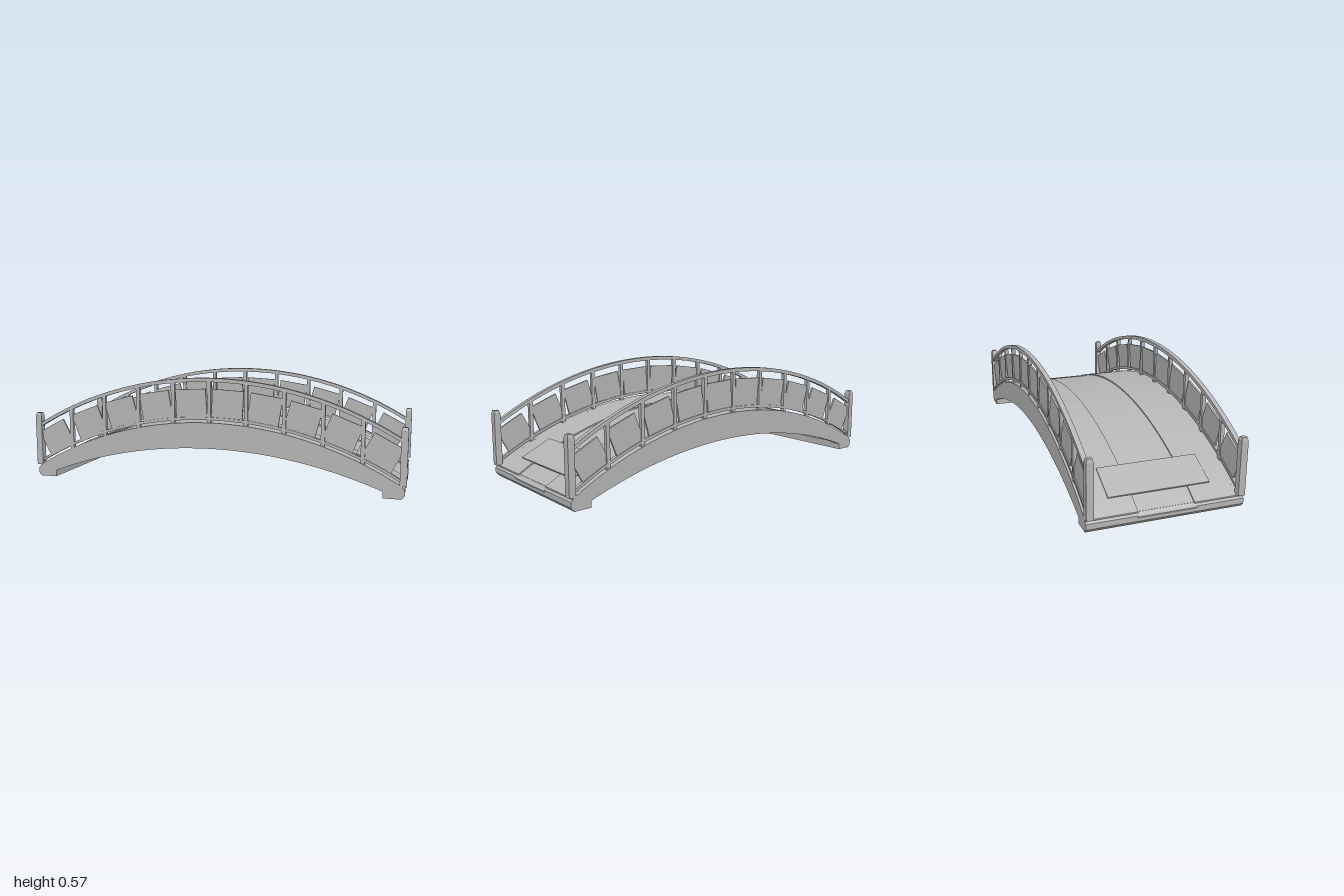
import * as THREE from 'three';
import { toCreasedNormals } from 'three/addons/utils/BufferGeometryUtils.js';

const R = 1.884, CY = -1.549;
const deckY = (x) => CY + Math.sqrt(R * R - x * x);
const soffitY = (x) => -2.23 + Math.sqrt(2.43 * 2.43 - x * x);
const tilt = (x) => -Math.asin(x / R);

export function createModel() {
  const group = new THREE.Group();
  const stone = new THREE.MeshStandardMaterial({ color: 0xb4b4b4 });
  stone.name = 'grey';

  const add = (name, geo, x = 0, y = 0, z = 0, rot = 0) => {
    const mesh = new THREE.Mesh(geo, stone);
    mesh.name = name;
    mesh.position.set(x, y, z);
    mesh.rotation.z = rot;
    group.add(mesh);
    return mesh;
  };
  const box = (name, w, h, d, x, y, z, rot) =>
    add(name, new THREE.BoxGeometry(w, h, d), x, y, z, rot);

  // Extrudes an outline across the bridge, centred on z
  const extrude = (name, points, width, z) => {
    const geo = new THREE.ExtrudeGeometry(new THREE.Shape(points), { depth: width, bevelEnabled: false });
    geo.translate(0, 0, -width / 2);
    return add(name, toCreasedNormals(geo, 0.3), 0, 0, z);
  };

  // A curved band between two height functions
  const band = (name, half, upper, lower, width, z) => {
    const n = 48, points = [];
    for (let i = 0; i <= n; i++) {
      const x = -half + (2 * half * i) / n;
      points.push(new THREE.Vector2(x, lower(x)));
    }
    for (let i = n; i >= 0; i--) {
      const x = -half + (2 * half * i) / n;
      points.push(new THREE.Vector2(x, upper(x)));
    }
    return extrude(name, points, width, z);
  };
  const offset = (d) => (x) => deckY(x) + d;

  // Walking surface: two side strips and a slightly sunken middle strip
  for (const s of [-1, 1]) band('deckSide', 0.98, offset(0), offset(-0.013), 0.25, s * 0.265);
  band('deckMiddle', 0.98, offset(-0.007), offset(-0.02), 0.28, 0);

  // Planks under the middle of the deck
  const bay = 0.195;
  for (let i = 0; i < 10; i++) {
    const end = i === 0 || i === 9;
    const x = (i - 4.5) * bay + (end ? Math.sign(i - 4.5) * 0.026 : 0);
    const length = end ? 0.198 : 0.18 / Math.cos(tilt(x));
    box('underPlank', length, 0.025, 0.292, x, deckY(x) - 0.025, 0, tilt(x));
  }

  for (const s of [-1, 1]) {
    // Arched side beam
    band('sideBeam', 0.97, offset(0), (x) => Math.min(soffitY(x), deckY(x) - 0.02), 0.035, s * 0.3725);

    // Curved handrail and lower rail
    const z = s * 0.373;
    band('handrail', 0.975, offset(0.23), offset(0.21), 0.025, z);
    band('lowerRail', 0.975, offset(0.028), offset(0.013), 0.02, z);

    // Slim posts between the bays
    for (let i = -4; i <= 4; i++) {
      const x = i * 0.196;
      box('railPost', 0.02, 0.222, 0.02, x, deckY(x) + 0.106, z);
    }

    // Tilted infill panels
    for (let i = 0; i < 10; i++) {
      const x = (i - 4.5) * bay;
      box('railPanel', 0.165, 0.145, 0.01, x, deckY(x) + 0.1, z, tilt(x));
    }

    // End posts with small tapered caps
    for (const e of [-1, 1]) {
      box('endPost', 0.034, 0.272, 0.035, e * 0.981, 0.199, z);
      const cap = new THREE.CylinderGeometry(0.017, 0.024, 0.017, 4).rotateY(Math.PI / 4);
      add('postCap', cap.toNonIndexed(), e * 0.981, 0.3435, z).geometry.computeVertexNormals();
    }
  }

  for (const e of [-1, 1]) {
    // Sill beam at each foot of the arch
    const outline = [[0.885, 0], [0.975, 0], [0.99, 0.018], [0.99, 0.045], [0.975, 0.058], [0.885, 0.04]];
    const points = outline.map(([x, y]) => new THREE.Vector2(e * x, y));
    extrude('footSill', points, 0.78, 0);

    // Flat slab lying on each slope
    box('slopeSlab', 0.178, 0.008, 0.51, e * 0.82, 0.1475, 0, -e * 0.449);
  }
  return group;
}
